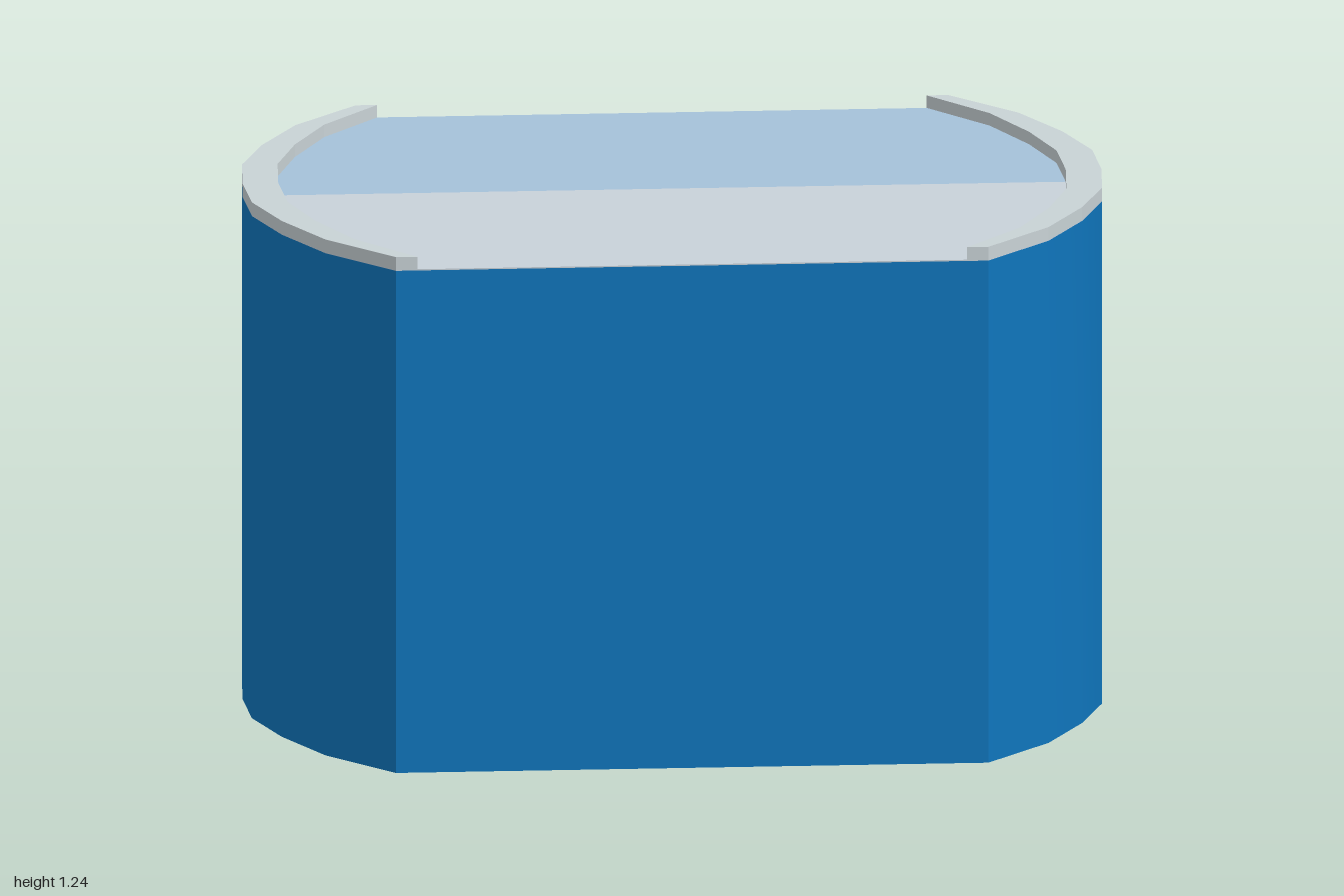
import * as THREE from 'three';
import { toCreasedNormals } from 'three/addons/utils/BufferGeometryUtils.js';

const DEPTH = 0.69, TOP = 1.21, RIM_TOP = 1.24;

// Half profiles of the bowed side, from the middle (z = 0) to the corner: [x, z]
const OUTER = [[1, 0], [0.99, 0.172], [0.932, 0.345], [0.842, 0.52], [0.69, DEPTH]];
const INNER = [[0.917, 0], [0.907, 0.172], [0.855, 0.345], [0.775, 0.52], [0.64, DEPTH]];

// Full bowed side, running from z = -DEPTH to z = DEPTH
const bow = (half) => [...half.slice(1).reverse().map(([x, z]) => [x, -z]), ...half];
const mirrorX = (points) => points.map(([x, z]) => [-x, z]);

// Upright prism standing on a floor plan of [x, z] points
function prism(points, bottom, top) {
  const shape = new THREE.Shape(points.map(([x, z]) => new THREE.Vector2(x, -z)));
  const geometry = new THREE.ExtrudeGeometry(shape, { depth: top - bottom, bevelEnabled: false });
  return geometry.rotateX(-Math.PI / 2).translate(0, bottom, 0);
}

function material(name, color) {
  const m = new THREE.MeshStandardMaterial({ color });
  m.name = name;
  return m;
}

export function createModel() {
  const model = new THREE.Group();
  model.name = 'bowedContainer';
  const blue = material('blue', 0x0f75bc);
  const rimGrey = material('rimGrey', 0xc8d2d5);
  const paleGrey = material('paleGrey', 0xc8d1d9);
  const paleBlue = material('paleBlue', 0xa5c1d9);

  const add = (name, geometry, mat) => {
    const mesh = new THREE.Mesh(geometry, mat);
    mesh.name = name;
    model.add(mesh);
  };

  // Body: flat front and back, smoothly bowed sides
  const side = bow(OUTER);
  const plan = [...side, ...mirrorX(side).reverse()];
  add('body', toCreasedNormals(prism(plan, 0, TOP - 0.003), 0.55), blue);

  // Two-tone top: one thin plate for each half
  const frontPlan = [...OUTER, ...mirrorX(OUTER).reverse()];
  const backPlan = frontPlan.map(([x, z]) => [x, -z]);
  add('topFrontHalf', prism(frontPlan, TOP - 0.003, TOP), paleGrey);
  add('topBackHalf', prism(backPlan, TOP - 0.003, TOP), paleBlue);

  // Raised faceted rim along each bowed side
  const rimPlan = [...side, ...bow(INNER).reverse()];
  add('leftRim', prism(rimPlan, TOP - 0.001, RIM_TOP), rimGrey);
  add('rightRim', prism(mirrorX(rimPlan), TOP - 0.001, RIM_TOP), rimGrey);

  return model;
}
